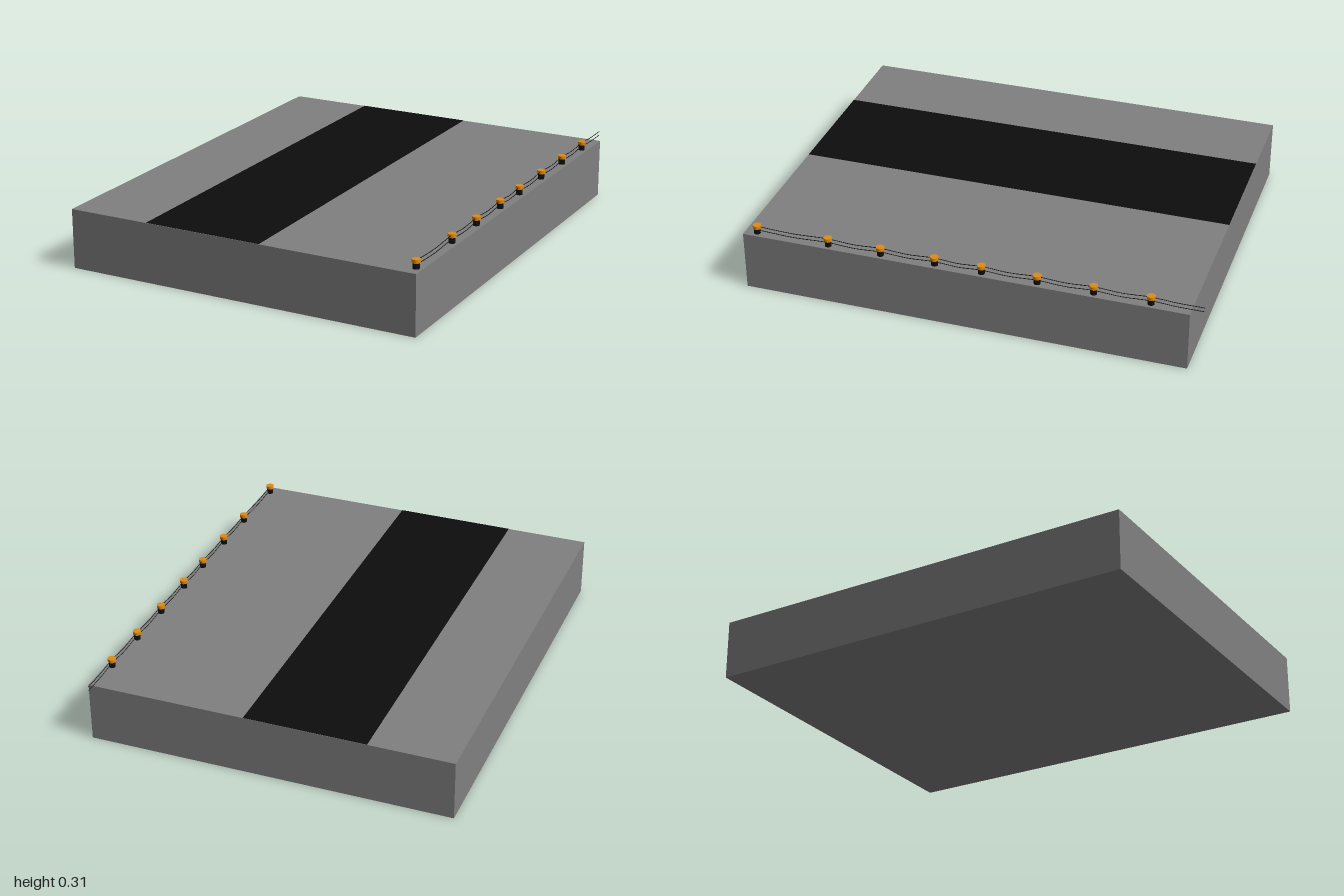
import * as THREE from 'three';

const mat = (color) => new THREE.MeshStandardMaterial({ color });

function add(parent, name, geometry, material, x, y, z) {
  const mesh = new THREE.Mesh(geometry, material);
  mesh.name = name;
  mesh.position.set(x, y, z);
  parent.add(mesh);
  return mesh;
}

export function createModel() {
  const model = new THREE.Group();
  model.name = 'roadSection';
  const grey = mat(0x808080), black = mat(0x0d0d0d), orange = mat(0xe08a14);

  // Ground slab with the road strip lying on top
  const top = 0.265, back = -0.947, front = 1;
  const length = front - back, midZ = (front + back) / 2;
  add(model, 'groundSlab', new THREE.BoxGeometry(1.614, top, length), grey, 0, top / 2, midZ);
  const road = add(model, 'roadStrip', new THREE.PlaneGeometry(0.54, length), black, -0.165, top + 0.001, midZ);
  road.rotation.x = -Math.PI / 2;

  // Row of capped posts along the left edge
  const postX = 0.78;
  const postZ = [0.945, 0.62, 0.385, 0.145, -0.06, -0.3, -0.54, -0.78];
  const postGeometry = new THREE.CylinderGeometry(0.014, 0.014, 0.027, 20);
  const capGeometry = new THREE.CylinderGeometry(0.018, 0.018, 0.015, 20);
  postZ.forEach((z) => {
    const post = new THREE.Group();
    post.name = 'fencePost';
    post.position.set(postX, top, z);
    add(post, 'postShaft', postGeometry, black, 0, 0.0135, 0);
    add(post, 'postCap', capGeometry, orange, 0, 0.033, 0);
    model.add(post);
  });

  // Two thin wires sagging slightly between posts and running past the last one
  const stops = [...postZ, -1];
  [['upperWire', 0.298], ['lowerWire', 0.28]].forEach(([name, y]) => {
    const points = [];
    stops.forEach((z, i) => {
      const last = i === stops.length - 1;
      points.push(new THREE.Vector3(postX, last ? y - 0.006 : y, z));
      if (!last) points.push(new THREE.Vector3(postX, y - 0.006, (z + stops[i + 1]) / 2));
    });
    const path = new THREE.CatmullRomCurve3(points);
    add(model, name, new THREE.TubeGeometry(path, 96, 0.0015, 6), black, 0, 0, 0);
  });

  return model;
}
